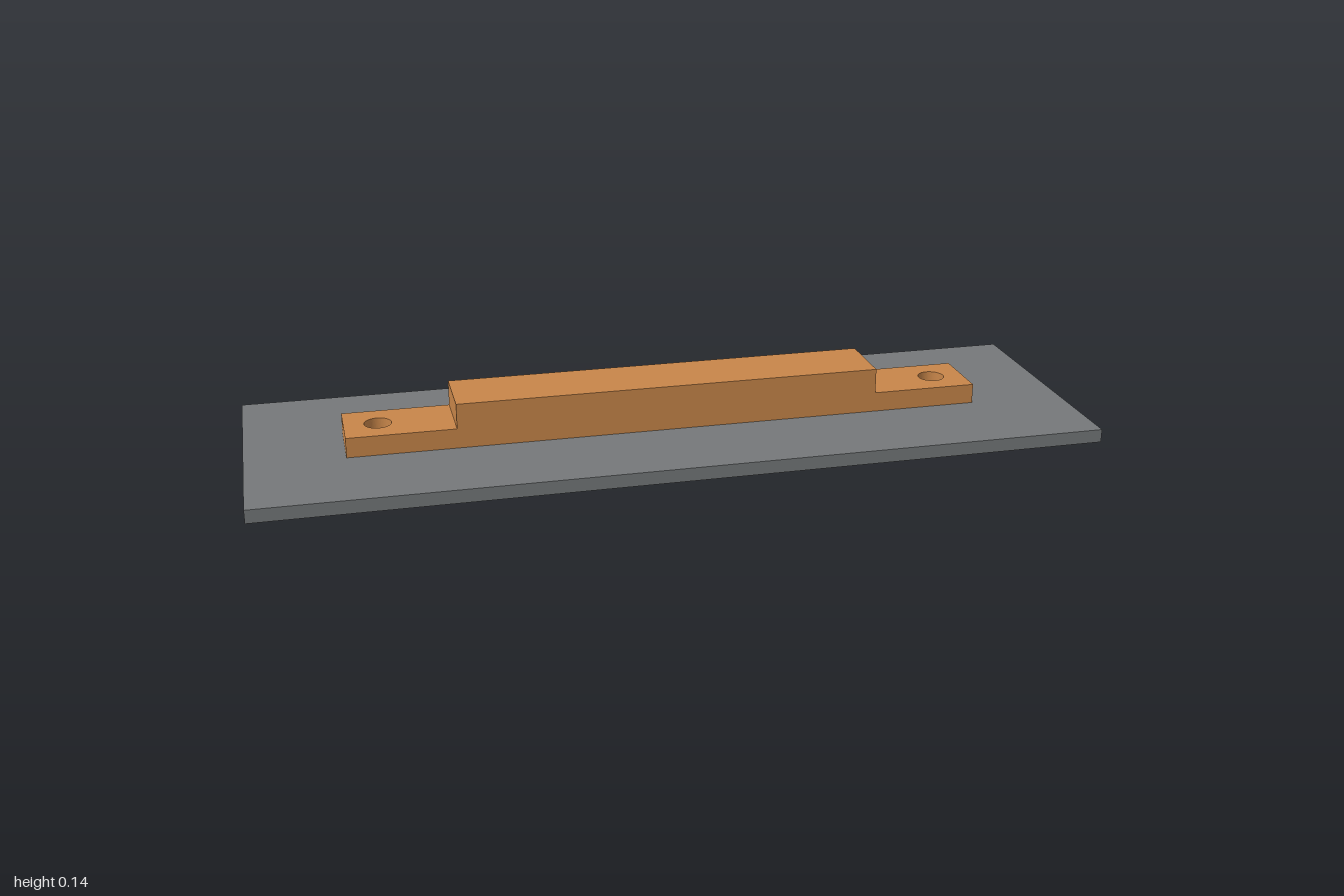
import * as THREE from 'three';

const copper = new THREE.MeshStandardMaterial({ color: 0xc8864a });
copper.name = 'copper orange';
const grey = new THREE.MeshStandardMaterial({ color: 0x75787a });
grey.name = 'plate grey';

const PLATE_TOP = 0.032, STRAP_TOP = 0.08, BLOCK_TOP = 0.141;
const DEPTH = 0.16, STRAP_HALF = 0.768, BLOCK_HALF = 0.512;
const HOLE_X = 0.688, HOLE_R = 0.032;

function addMesh(group, name, geometry, material, y) {
  const mesh = new THREE.Mesh(geometry, material);
  mesh.name = name;
  mesh.position.y = y;
  group.add(mesh);
  return mesh;
}

export function createModel() {
  const model = new THREE.Group();
  model.name = 'mountedBar';

  // Flat base plate
  addMesh(model, 'basePlate', new THREE.BoxGeometry(2, PLATE_TOP, 0.64), grey, PLATE_TOP / 2);

  // Low strap with a screw hole through each end
  const outline = new THREE.Shape([
    new THREE.Vector2(-STRAP_HALF, -DEPTH / 2),
    new THREE.Vector2(STRAP_HALF, -DEPTH / 2),
    new THREE.Vector2(STRAP_HALF, DEPTH / 2),
    new THREE.Vector2(-STRAP_HALF, DEPTH / 2),
  ]);
  for (const side of [-1, 1]) {
    outline.holes.push(new THREE.Path().absarc(side * HOLE_X, 0, HOLE_R, 0, Math.PI * 2, true));
  }
  const strap = new THREE.ExtrudeGeometry(outline, {
    depth: STRAP_TOP - PLATE_TOP, bevelEnabled: false, curveSegments: 32,
  });
  strap.rotateX(-Math.PI / 2);
  addMesh(model, 'mountingStrap', strap, copper, PLATE_TOP);

  // Raised middle of the bar
  const height = BLOCK_TOP - STRAP_TOP;
  addMesh(model, 'raisedBlock', new THREE.BoxGeometry(BLOCK_HALF * 2, height, DEPTH), copper,
    STRAP_TOP + height / 2);

  return model;
}
